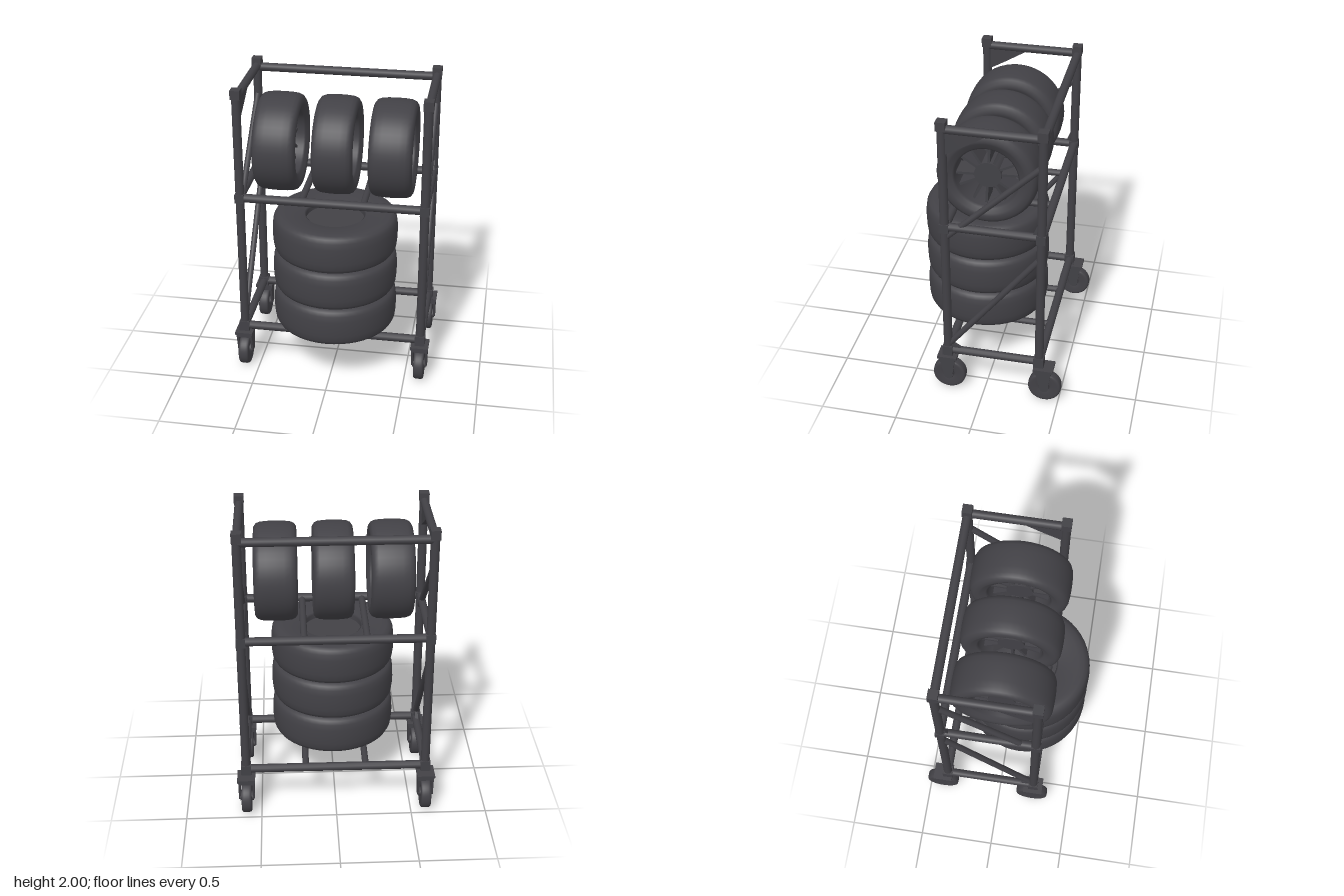
import * as THREE from 'three';

const steel = new THREE.MeshStandardMaterial({ color: 0x424146 });
steel.name = 'charcoal';

const POST_X = 0.597, FRONT_Z = 0.243, BACK_Z = -0.365;

function add(parent, name, geometry, x = 0, y = 0, z = 0) {
  const mesh = new THREE.Mesh(geometry, steel);
  mesh.name = name;
  mesh.position.set(x, y, z);
  parent.add(mesh);
  return mesh;
}

// Round tube between two points
function bar(parent, name, a, b, radius) {
  const p = new THREE.Vector3(...a), q = new THREE.Vector3(...b);
  const dir = q.clone().sub(p);
  const mesh = add(parent, name, new THREE.CylinderGeometry(radius, radius, dir.length(), 12));
  mesh.position.copy(p).add(q).multiplyScalar(0.5);
  mesh.quaternion.setFromUnitVectors(new THREE.Vector3(0, 1, 0), dir.normalize());
}

// Flat plate lying in the z-y plane, given as [z, y] corners
function sidePlate(parent, name, corners, x, thickness) {
  const shape = new THREE.Shape(corners.map(([z, y]) => new THREE.Vector2(-z, y)));
  const geo = new THREE.ExtrudeGeometry(shape, { depth: thickness, bevelEnabled: false });
  geo.translate(0, 0, -thickness / 2).rotateY(Math.PI / 2);
  return add(parent, name, geo, x);
}

// Tyre with its axis along y: bore, sidewalls, rounded shoulders, crowned tread
function tyreGeometry(R, w, bore) {
  const half = [
    [bore, 0], [bore, -w * 0.78], [bore + 0.012, -w * 0.86], [bore + (R - bore) * 0.35, -w * 0.95],
    [R * 0.8, -w], [R * 0.89, -w * 0.98], [R * 0.95, -w * 0.88], [R * 0.982, -w * 0.7], [R * 0.995, -w * 0.4], [R, 0],
  ];
  const upper = half.slice(0, -1).reverse().map(([r, y]) => [r, -y]);
  const points = [...half, ...upper].map(([r, y]) => new THREE.Vector2(r, y));
  return new THREE.LatheGeometry(points, 48);
}

function uprightWheel(x, width) {
  const wheel = new THREE.Group();
  wheel.name = 'uprightWheel';
  add(wheel, 'tyre', tyreGeometry(0.32, width / 2, 0.2));
  add(wheel, 'hub', new THREE.CylinderGeometry(0.085, 0.085, width * 0.55, 24));
  // Paired spokes, open between
  for (let i = 0; i < 12; i++) {
    const a = (i + (i % 2 ? -0.1 : 0.1)) * Math.PI / 6;
    const spoke = add(wheel, 'spoke', new THREE.BoxGeometry(0.135, width * 0.5, 0.016),
      Math.cos(a) * 0.14, 0, -Math.sin(a) * 0.14);
    spoke.rotation.y = a;
  }
  wheel.rotation.z = Math.PI / 2;
  wheel.position.set(x, 1.573, 0.003);
  return wheel;
}

function caster(x, z) {
  const g = new THREE.Group();
  g.name = 'caster';
  const wheel = add(g, 'casterWheel', tyreGeometry(0.11, 0.034, 0.03), 0, 0.11, 0);
  wheel.rotation.z = Math.PI / 2;
  const axle = add(g, 'axle', new THREE.CylinderGeometry(0.031, 0.031, 0.09, 12), 0, 0.11, 0);
  axle.rotation.z = Math.PI / 2;
  for (const s of [-1, 1]) {
    sidePlate(g, 'forkPlate', [[0.06, 0.25], [0.025, 0.1], [-0.025, 0.1], [-0.045, 0.25]], s * 0.046, 0.014);
  }
  add(g, 'forkCrown', new THREE.BoxGeometry(0.106, 0.025, 0.105), 0, 0.237, 0.008);
  add(g, 'mountingPlate', new THREE.BoxGeometry(0.118, 0.018, 0.13), 0, 0.258, 0.008);
  g.position.set(x, 0, z);
  return g;
}

export function createModel() {
  const model = new THREE.Group();
  model.name = 'tyreRack';

  const frame = new THREE.Group();
  frame.name = 'frame';
  model.add(frame);

  for (const s of [-1, 1]) {
    const x = s * POST_X;
    // Posts with square collars at the joints
    for (const z of [FRONT_Z, BACK_Z]) {
      bar(frame, 'post', [x, 0.26, z], [x, 1.99, z], 0.029);
      add(frame, 'topCollar', new THREE.BoxGeometry(0.062, 0.06, 0.062), x, 1.97, z);
      add(frame, 'middleCollar', new THREE.BoxGeometry(0.06, 0.06, 0.06), x, 1.26, z);
      add(frame, 'bottomCollar', new THREE.BoxGeometry(0.066, 0.075, 0.066), x, 0.3, z);
    }
    // Side rails
    for (const y of [0.3, 1.265, 1.945]) {
      bar(frame, 'sideRail', [x, y, FRONT_Z], [x, y, BACK_Z], 0.027);
    }
    // Diagonal braces
    bar(frame, 'lowerBrace', [x, 0.36, FRONT_Z - 0.02], [x, 1.1, BACK_Z + 0.01], 0.02);
    bar(frame, 'upperBrace', [x, 1.19, FRONT_Z - 0.01], [x, 1.75, BACK_Z + 0.01], 0.02);
    // Corner gussets
    sidePlate(frame, 'topGusset', [[FRONT_Z, 1.95], [FRONT_Z, 1.77], [0.12, 1.84], [-0.03, 1.93]], x, 0.03);
    sidePlate(frame, 'middleGusset', [[BACK_Z, 1.42], [BACK_Z, 1.28], [-0.31, 1.28]], x, 0.02);
    sidePlate(frame, 'bottomGusset', [[FRONT_Z, 0.38], [FRONT_Z, 0.31], [0.13, 0.31]], x, 0.02);

    // Shelf bearers running front to back
    for (const y of [0.3, 1.255]) {
      bar(frame, 'shelfBearer', [s * 0.2, y, FRONT_Z], [s * 0.2, y, BACK_Z], 0.022);
    }
    model.add(caster(s * POST_X, 0.235), caster(s * POST_X, -0.407));
  }

  // Long rails; the top front stays open for loading
  for (const [y, z] of [[0.3, FRONT_Z], [0.3, BACK_Z], [1.26, FRONT_Z], [1.26, BACK_Z], [1.935, BACK_Z]]) {
    bar(frame, 'longRail', [-POST_X, y, z], [POST_X, y, z], 0.028);
  }

  // Three wheels standing on the upper shelf
  model.add(uprightWheel(-0.365, 0.276), uprightWheel(0.005, 0.26), uprightWheel(0.37, 0.276));

  // Three large tyres stacked flat on the lower shelf
  for (let i = 0; i < 3; i++) {
    const stacked = new THREE.Group();
    stacked.name = 'stackedTyre';
    add(stacked, 'tyre', tyreGeometry(0.41, 0.134, 0.19));
    add(stacked, 'wheelDisc', new THREE.CylinderGeometry(0.192, 0.192, 0.15, 32));
    stacked.position.set(0.003, 0.484 + i * 0.266, 0.105);
    model.add(stacked);
  }

  return model;
}
